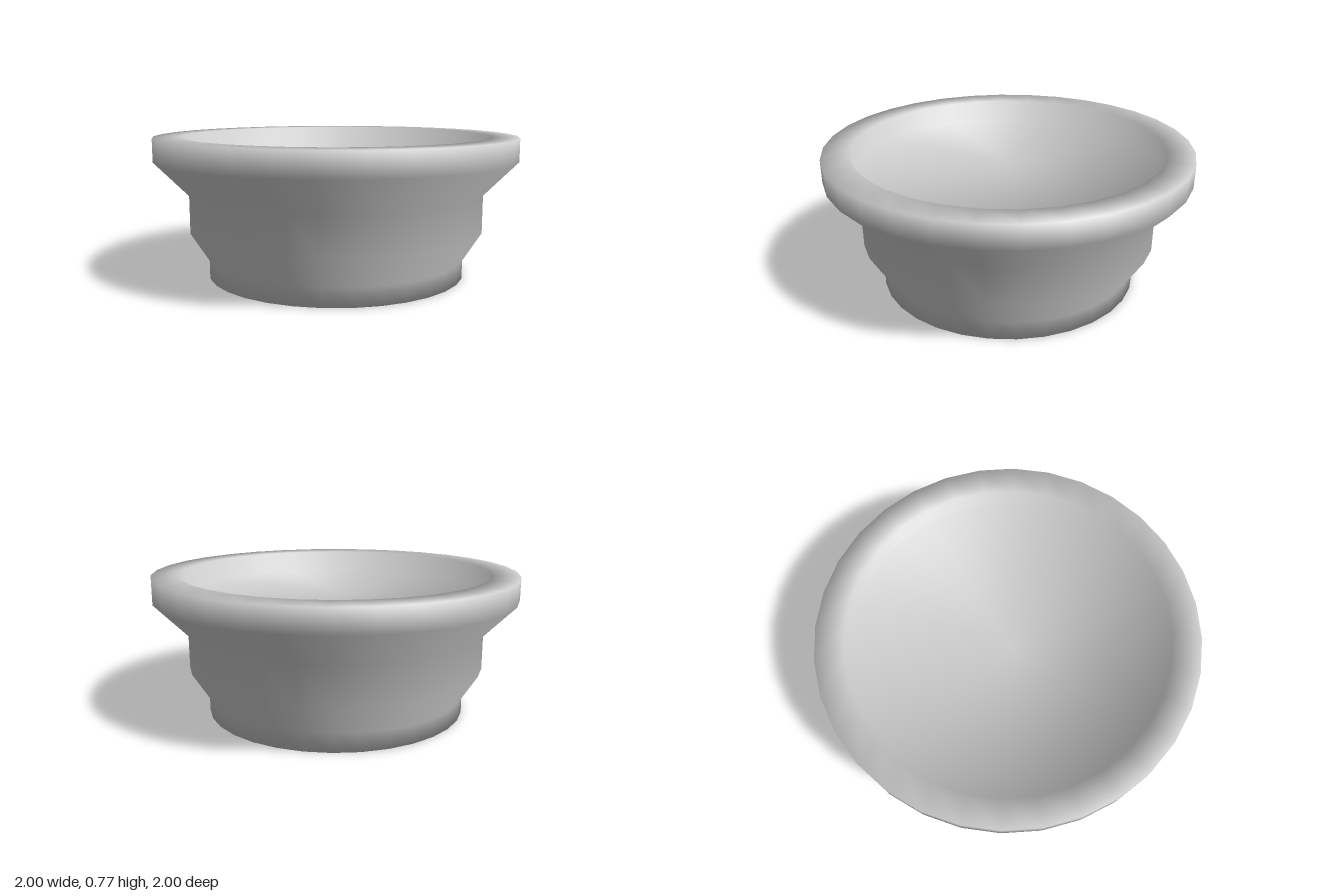
import * as THREE from 'three';

const SIDES = 32;

// Revolve a list of [radius, height] points, shading each corner evenly between its two slopes
function turned(name, profile, material) {
  const points = profile.map(([r, y]) => new THREE.Vector2(r, y));
  const geometry = new THREE.LatheGeometry(points, SIDES);
  const slopes = points.slice(1).map((p, j) => {
    const d = p.clone().sub(points[j]).normalize();
    return new THREE.Vector2(d.y, -d.x);
  });
  const normal = geometry.attributes.normal;
  for (let i = 0; i < normal.count; i++) {
    const j = i % points.length;
    const angle = Math.floor(i / points.length) * 2 * Math.PI / SIDES;
    const n = slopes[Math.max(j - 1, 0)].clone().add(slopes[Math.min(j, slopes.length - 1)]).normalize();
    normal.setXYZ(i, n.x * Math.sin(angle), n.y, n.x * Math.cos(angle));
  }
  const mesh = new THREE.Mesh(geometry, material);
  mesh.name = name;
  return mesh;
}

export function createModel() {
  const material = new THREE.MeshStandardMaterial({ color: 0xcccccc });
  const group = new THREE.Group();
  group.name = 'bowl';

  // Underside, stepped wall, wide rim and sunken floor in one smooth skin
  group.add(turned('bowlBody', [
    [0, 0],
    [0.72, 0],      // foot
    [0.72, 0.1],
    [0.82, 0.26],   // waist
    [0.82, 0.465],
    [1, 0.65],      // flared rim
    [1, 0.775],
    [0.85, 0.775],  // inner lip
    [0.85, 0.65],
    [0, 0.65],      // sunken floor
  ], material));

  return group;
}
